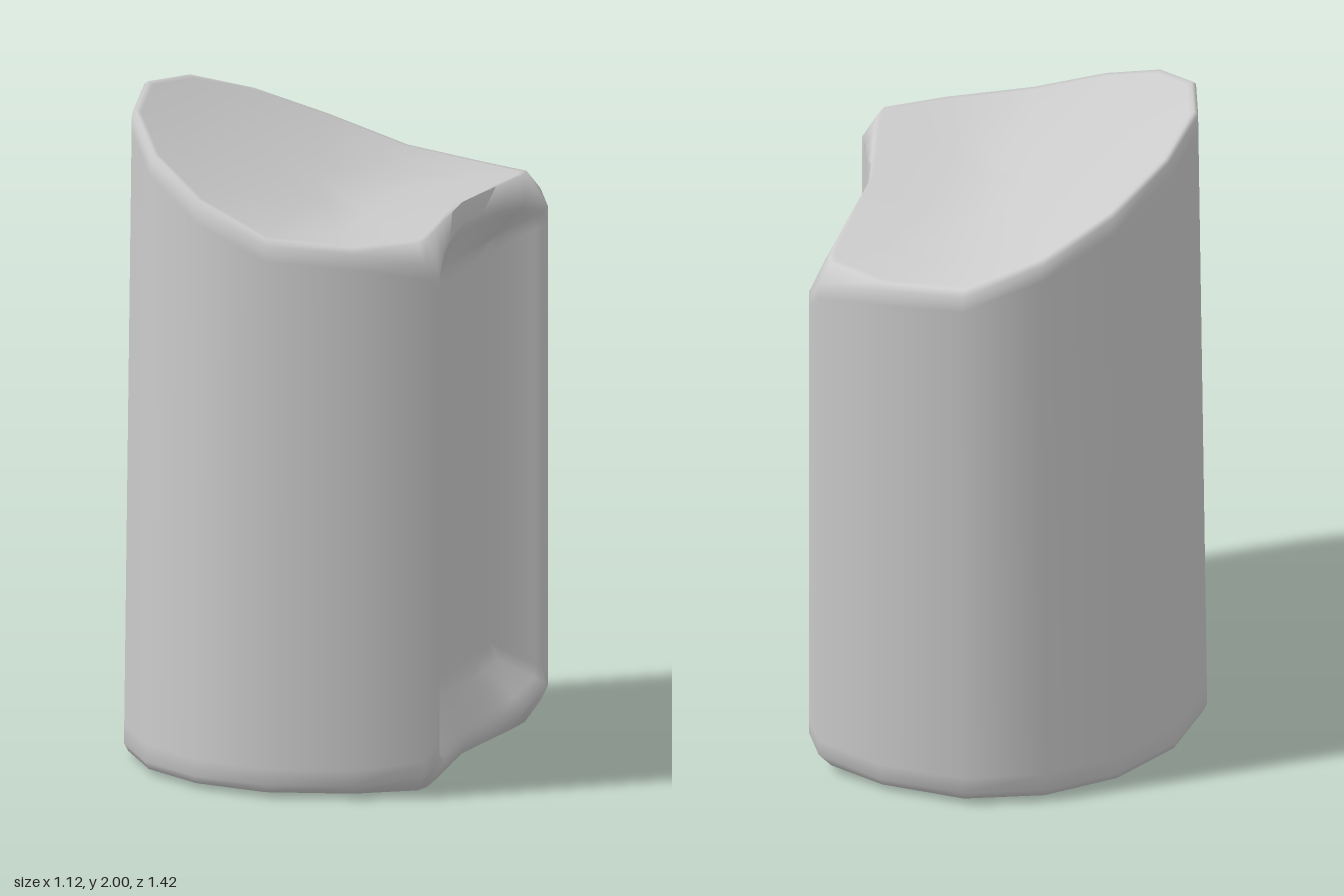
import * as THREE from 'three';
import { toCreasedNormals } from 'three/addons/utils/BufferGeometryUtils.js';

const K = 8; // segments across the scooped side
const { lerp } = THREE.MathUtils;

// Plan outline: scooped side first, then round the drum (e = closeness to a front corner)
const outline = [];
for (let j = 0; j <= K; j++) {
  const s = 1 - (2 * j) / K;
  const e = Math.abs(s);
  outline.push({ x: 0.47 + 0.09 * Math.pow(e, 1.3), z: 0.53 * s, scoop: true, e: e * e });
}
const arc = [[0.525, 0.565, 0.5], [0.33, 0.65, 0], [0.07, 0.71, 0],
  [-0.17, 0.65, 0], [-0.37, 0.5, 0], [-0.51, 0.27, 0]];
const drum = (x, z, e) => outline.push({ x, z, scoop: false, e });
arc.forEach(([x, z, e]) => drum(x, -z, e));
drum(-0.56, 0, 0);
[...arc].reverse().forEach(([x, z, e]) => drum(x, z, e));

// Sloping top, slightly crowned across z
const topY = (x, z) => {
  const t = Math.max(0, 0.15 - x);
  return 1.675 + 0.3 * t + 0.23 * t * t + 0.02 * (1 - (z / 0.71) ** 2);
};
const lean = (x, y) => (x < 0 ? x * (1 - 0.025 * y) : x);

// Ring made by shrinking the outline; yOf gives the height of each point
const ring = (scaleOf, yOf) => outline.map((p) => {
  const s = scaleOf(p);
  const y = yOf(p, lean(p.x * s, 2), p.z * s);
  return new THREE.Vector3(lean(p.x * s, y), y, p.z * s);
});
const inset = (p) => 0.978 - 0.078 * p.e;

function addQuad(out, a, b, c, d) {
  for (const t of [[a, b, c], [a, c, d]]) {
    const tri = new THREE.Triangle(...t);
    if (tri.getArea() > 1e-9) t.forEach((v) => out.push(v.x, v.y, v.z));
  }
}

function loft(out, rows, skip = () => false) {
  for (let i = 0; i < rows.length - 1; i++) {
    const n = rows[i].length;
    for (let j = 0; j < n; j++) {
      const k = (j + 1) % n;
      if (!skip(i, j)) addQuad(out, rows[i][j], rows[i][k], rows[i + 1][k], rows[i + 1][j]);
    }
  }
}

export function createModel() {
  const positions = [];

  // Wall rows, with support rows close to both bevels
  const low = ring(() => 1, (p) => (p.scoop ? 0.055 + 0.065 * p.e * p.e : 0.04 + 0.05 * p.e));
  const high = ring(() => 1, (p, x, z) => (p.scoop
    ? 1.64 - 0.06 * p.e * p.e : topY(x, z) - 0.016 - 0.08 * p.e));
  const wallRow = (t) => low.map((p, i) => p.clone().lerp(high[i], t));
  const low2 = wallRow(0.03);
  const high2 = wallRow(0.97);

  // Body: flat base, bevel, wall, bevel, sloping top (wall left open at the recess)
  const cap = (k) => ring((p) => inset(p) * k, (p, x, z) => topY(x, z));
  const base = (k, y) => ring((p) => inset(p) * k, () => y);
  const rows = [base(0, 0), base(0.6, 0), base(0.92, 0.004), base(1, 0.016),
    low, low2, high2, high, cap(1), cap(0.97), cap(0.75), cap(0.5), cap(0.25), cap(0)];
  loft(positions, rows, (i, j) => i >= 4 && i <= 6 && j < K);

  // Recess: loops stepping from the opening down to a flat panel
  const opening = [
    ...low.slice(0, K + 1).map((p) => [p, 0]),
    [low2[K], 0.03], [high2[K], 0.97],
    ...high.slice(0, K + 1).reverse().map((p) => [p, 1]),
    [high2[0], 0.97], [low2[0], 0.03],
  ];
  const steps = [[0, 0], [0.12, 0.07], [0.25, 0.22], [0.8, 0.86], [1, 1], [1.2, 1]];
  const loops = steps.map(([t, depth]) => opening.map(([p, side]) => new THREE.Vector3(
    lerp(p.x, 0.41, depth),
    lerp(p.y, lerp(0.23, 1.48, side), t),
    p.z * (1 - 0.19 * t))));
  loft(positions, loops);

  // Flat back panel of the recess
  const edge = loops[loops.length - 1];
  const top = 2 * K + 3;
  for (let j = 0; j < K; j++) {
    addQuad(positions, edge[j], edge[j + 1], edge[top - j - 1], edge[top - j]);
  }

  const geometry = new THREE.BufferGeometry();
  geometry.setAttribute('position', new THREE.Float32BufferAttribute(positions, 3));
  const shell = new THREE.Mesh(toCreasedNormals(geometry, 1.25),
    new THREE.MeshStandardMaterial({ color: 0xcccccc }));
  shell.name = 'drumWithRecess';

  const group = new THREE.Group();
  group.name = 'scoopedDrum';
  group.add(shell);
  return group;
}
